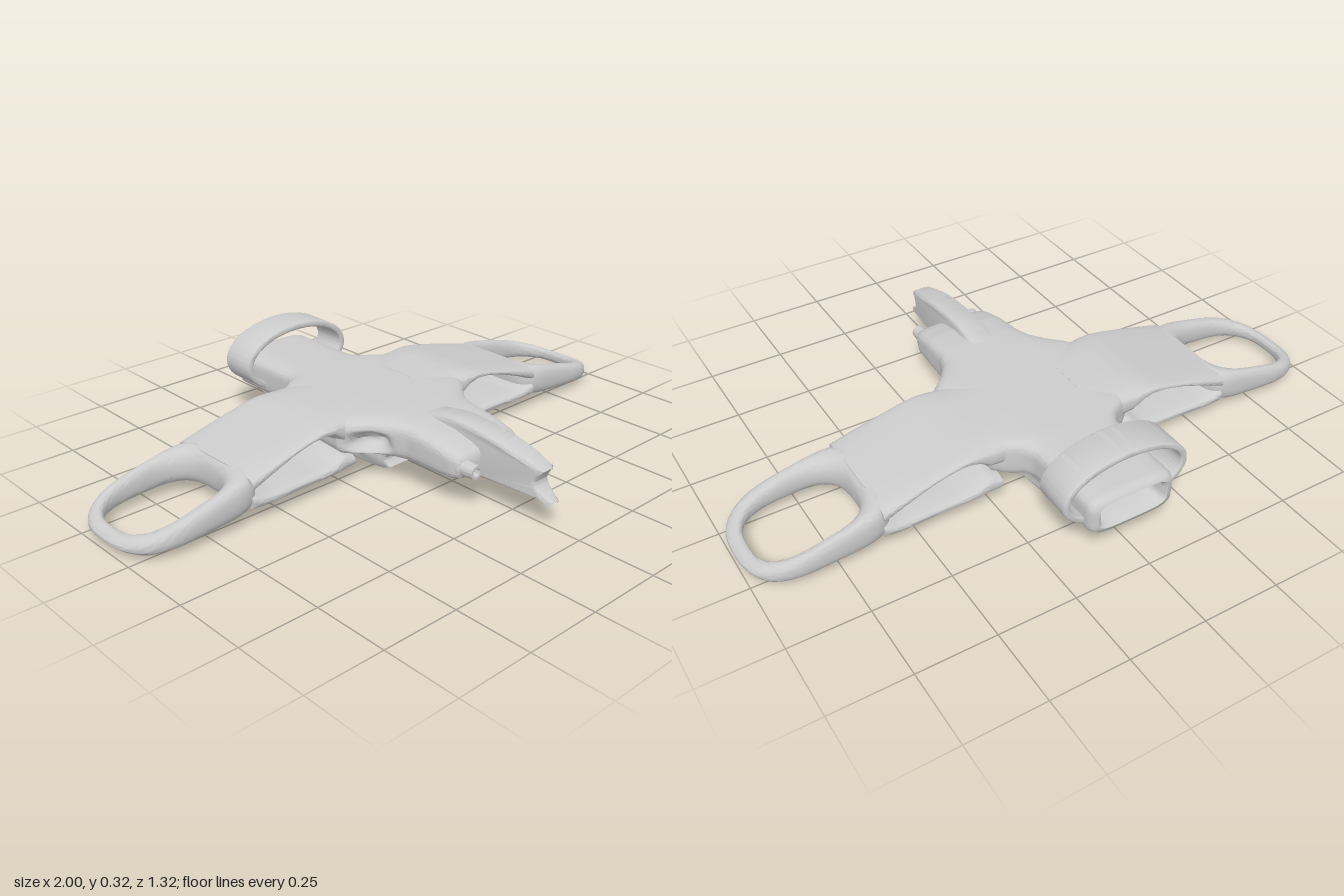
import * as THREE from 'three';
import { toCreasedNormals, mergeVertices } from 'three/addons/utils/BufferGeometryUtils.js';

const material = new THREE.MeshStandardMaterial({ color: 0xcccccc });

// Linear interpolation in a table of rows [key, value, value...]
function sample(rows, t) {
  let i = 1;
  while (i < rows.length - 1 && rows[i][0] < t) i++;
  const a = rows[i - 1], b = rows[i];
  const k = THREE.MathUtils.clamp((t - a[0]) / (b[0] - a[0]), 0, 1);
  return a.slice(1).map((v, j) => v + (b[j + 1] - v) * k);
}

// Point on a unit superellipse
function superPoint(angle, n) {
  const c = Math.cos(angle), s = Math.sin(angle);
  return [Math.sign(c) * Math.abs(c) ** (2 / n), Math.sign(s) * Math.abs(s) ** (2 / n)];
}

// Skin over cross-sections, each a loop running counter-clockwise about the path
function loft(sections, closed = false) {
  const n = sections[0].length, count = sections.length, pos = [], index = [];
  sections.forEach(loop => loop.forEach(p => pos.push(...p)));
  for (let i = 0; i < (closed ? count : count - 1); i++) {
    for (let j = 0; j < n; j++) {
      const k = (j + 1) % n, m = (i + 1) % count;
      const a = i * n + j, b = i * n + k, c = m * n + k, d = m * n + j;
      index.push(a, b, c, a, c, d);
    }
  }
  if (!closed) {
    [0, count - 1].forEach(s => {
      const centre = [0, 1, 2].map(q => sections[s].reduce((sum, p) => sum + p[q], 0) / n);
      const c = pos.length / 3;
      pos.push(...centre);
      for (let j = 0; j < n; j++) {
        const a = s * n + j, b = s * n + (j + 1) % n;
        if (s === 0) index.push(c, b, a); else index.push(c, a, b);
      }
    });
  }
  const g = new THREE.BufferGeometry();
  g.setAttribute('position', new THREE.Float32BufferAttribute(pos, 3));
  g.setIndex(index);
  return g;
}

function mirrorX(geometry) {
  const g = geometry.clone().scale(-1, 1, 1), ix = g.index.array;
  for (let i = 0; i < ix.length; i += 3) [ix[i], ix[i + 1]] = [ix[i + 1], ix[i]];
  return g;
}

function moveVertices(g, rule) {
  const p = g.attributes.position, v = new THREE.Vector3();
  for (let i = 0; i < p.count; i++) {
    rule(v.fromBufferAttribute(p, i));
    p.setXYZ(i, v.x, v.y, v.z);
  }
  return g;
}

// Side outline given as (z, y), extruded across x
function sideExtrude(shape, halfWidth, bevel) {
  const depth = 2 * (halfWidth - bevel);
  return new THREE.ExtrudeGeometry(shape, {
    depth, bevelEnabled: true, bevelThickness: bevel, bevelSize: bevel,
    bevelOffset: -bevel, bevelSegments: 4, curveSegments: 14
  }).translate(0, 0, -depth / 2).rotateY(-Math.PI / 2);
}
const vectors = list => list.map(p => new THREE.Vector2(...p));

// Fuselage with wing-root fillets, a recessed tail opening and two side intakes
function bodyGeometry() {
  // z, half width, bottom, top
  const rows = [
    [-0.655, 0.135, 0.095, 0.212], [-0.64, 0.145, 0.09, 0.22], [-0.42, 0.145, 0.09, 0.22],
    [-0.37, 0.15, 0.09, 0.221], [-0.335, 0.17, 0.09, 0.222], [-0.31, 0.215, 0.09, 0.222],
    [-0.28, 0.25, 0.09, 0.222], [0.03, 0.275, 0.09, 0.222], [0.06, 0.25, 0.09, 0.222],
    [0.1, 0.205, 0.09, 0.222], [0.15, 0.168, 0.09, 0.221], [0.2, 0.15, 0.09, 0.22],
    [0.3, 0.145, 0.09, 0.208], [0.37, 0.14, 0.092, 0.19], [0.395, 0.132, 0.1, 0.18],
    [0.405, 0.112, 0.112, 0.165]
  ];
  const N = 96;
  const loop = (z, w, lo, hi) => Array.from({ length: N }, (_, j) => {
    const [u, v] = superPoint((j + 0.5) / N * Math.PI * 2, 4.5);
    return [u * w, (lo + hi) / 2 + v * (hi - lo) / 2, z];
  });
  const sections = [loop(-0.56, 0.1, 0.122, 0.188), loop(-0.65, 0.108, 0.116, 0.194), loop(-0.66, 0.118, 0.108, 0.202)];
  for (let i = 0; i <= 110; i++) {
    const z = -0.655 + 1.06 * i / 110;
    sections.push(loop(z, ...sample(rows, z)));
  }
  return moveVertices(loft(sections), v => {
    const side = Math.sign(v.x);
    const along = (Math.abs(v.x) - 0.21 - (0.095 - v.z)) / 0.075, up = (v.y - 0.142) / 0.032;
    const d = ((v.z - 0.1) / 0.045) ** 2 + up * up + along * along * 0.2;
    const dent = 0.055 * Math.exp(-d * d);
    v.x -= side * dent;
    v.z -= dent * 0.6;
  });
}

const wingTop = [[0, 0.222], [0.27, 0.223], [0.33, 0.216], [0.4, 0.2], [0.5, 0.178], [0.6, 0.155],
  [0.7, 0.132], [0.8, 0.109], [0.9, 0.082], [0.96, 0.062], [1, 0.046]];
const wingBottom = [[0.2, 0.055], [0.23, 0.043], [0.27, 0.04], [0.6, 0.04], [0.8, 0.027], [0.95, 0.015], [1, 0.022]];
const ductTop = [[0.1, 0.12], [0.26, 0.135], [0.29, 0.165], [0.33, 0.18], [0.38, 0.18], [0.45, 0.163], [0.55, 0.125], [0.61, 0.098]];
const ductBottom = [[0.2, 0.095], [0.26, 0.11], [0.3, 0.088], [0.36, 0.08], [0.53, 0.08], [0.57, 0.086], [0.61, 0.1]];

// Wing skin spanning x0..x1 between two height tables
function wingPlate(x0, x1, low, high) {
  const sections = [];
  for (let i = 0; i <= 36; i++) {
    const x = x0 + (x1 - x0) * i / 36;
    const [lo] = sample(low, x), [hi] = sample(high, x);
    const half = 0.18 + 0.006 * THREE.MathUtils.smoothstep(x, 0.4, 0.6);
    sections.push(Array.from({ length: 56 }, (_, j) => {
      const [u, v] = superPoint(j / 56 * Math.PI * 2, 3.5);
      return [x, (lo + hi) / 2 + u * (hi - lo) / 2, -0.132 + v * half];
    }));
  }
  return loft(sections);
}

// Wing tip: a loop around the large rounded opening
function wingTip() {
  const sections = [], cx = 0.792, cz = -0.132;
  for (let i = 0; i < 96; i++) {
    const a = (i + 0.5) / 96 * Math.PI * 2, inboard = Math.cos(a) < 0;
    const [iu, iv] = superPoint(a, 2.8), [ou, ov] = superPoint(a, inboard ? 6 : 2.7);
    const inner = [cx + iu * 0.163, cz - 0.005 + iv * 0.14];
    const outer = [cx + ou * (inboard ? 0.222 : 0.208), cz + ov * 0.188];
    sections.push(Array.from({ length: 28 }, (_, j) => {
      const [u, v] = superPoint(j / 28 * Math.PI * 2, 2.4), k = (1 + u) / 2;
      const x = inner[0] + (outer[0] - inner[0]) * k, z = inner[1] + (outer[1] - inner[1]) * k;
      const [lo] = sample(wingBottom, x), [hi] = sample(wingTop, x);
      return [x, (lo + hi) / 2 + v * (hi - lo) / 2, z];
    }));
  }
  return loft(sections, true);
}

// Nose blade with a notched prow
function noseGeometry() {
  const s = new THREE.Shape();
  s.moveTo(0.1, 0.1);
  s.lineTo(0.4, 0.088);
  s.lineTo(0.66, 0.088);
  s.splineThru(vectors([[0.625, 0.108], [0.602, 0.135], [0.612, 0.16], [0.625, 0.178]]));
  s.splineThru(vectors([[0.6, 0.192], [0.53, 0.212], [0.43, 0.231], [0.31, 0.24], [0.23, 0.232], [0.15, 0.215]]));
  return moveVertices(sideExtrude(s, 0.05, 0.014), v => {
    const t = THREE.MathUtils.clamp((v.z - 0.4) / 0.265, 0, 1);
    v.x *= Math.sqrt(1 - t * t * 0.97) * (1 - 0.15 * THREE.MathUtils.smoothstep(v.y, 0.16, 0.24));
  });
}

// Belly keel sweeping up to the tail, open between skid and fuselage
function keelGeometry() {
  const s = new THREE.Shape();
  s.moveTo(0.12, 0.11);
  s.splineThru(vectors([[0.1, 0.085], [0.075, 0.055], [0.09, 0.028]]));
  s.splineThru(vectors([[0.05, 0.012], [-0.05, 0.003], [-0.2, 0.003], [-0.35, 0.012], [-0.48, 0.037], [-0.58, 0.068], [-0.65, 0.092]]));
  s.lineTo(-0.64, 0.11);
  const hole = new THREE.Path();
  hole.moveTo(-0.34, 0.088);
  hole.splineThru(vectors([[-0.335, 0.065], [-0.35, 0.046], [-0.42, 0.043], [-0.5, 0.062], [-0.57, 0.088]]));
  hole.closePath();
  s.holes.push(hole);
  return moveVertices(sideExtrude(s, 0.122, 0.008), v => {
    v.x *= 1 - 0.2 * THREE.MathUtils.smoothstep(-v.z, 0.2, 0.55);
    v.x *= 1 - 0.08 * THREE.MathUtils.smoothstep(0.05 - v.y, 0, 0.045);
  });
}

// Arched band over the tail, its ends tucked against the fuselage
function archGeometry() {
  const s = new THREE.Shape(), from = -0.28 * Math.PI, to = 1.28 * Math.PI;
  s.absellipse(0, 0.208, 0.207, 0.107, from, to, false);
  s.absellipse(0, 0.208, 0.197, 0.097, to, from, true);
  return new THREE.ExtrudeGeometry(s, {
    depth: 0.112, bevelEnabled: true, bevelSize: 0.006, bevelThickness: 0.008, bevelSegments: 3, curveSegments: 64
  }).translate(0, 0, -0.616);
}

export function createModel() {
  const group = new THREE.Group();
  const add = (name, geometry, crease = 0.7) => {
    geometry.deleteAttribute('uv');
    geometry.deleteAttribute('normal');
    const mesh = new THREE.Mesh(toCreasedNormals(mergeVertices(geometry, 1e-5), crease), material);
    mesh.name = name;
    group.add(mesh);
    return mesh;
  };
  add('fuselage', bodyGeometry(), 0.9);
  add('noseBlade', noseGeometry());
  add('bellyKeel', keelGeometry());
  add('tailArch', archGeometry());

  const wingParts = {
    UpperWing: wingPlate(0.12, 0.612, ductTop, wingTop),
    LowerWing: wingPlate(0.22, 0.612, wingBottom, ductBottom),
    WingTip: wingTip()
  };
  for (const [name, geometry] of Object.entries(wingParts)) {
    add('right' + name, mirrorX(geometry), 0.9);
    add('left' + name, geometry, 0.9);
  }
  // Stepped gun barrels either side of the nose
  const barrel = [[0, 0], [0.032, 0], [0.032, 0.045], [0.025, 0.05], [0.022, 0.095], [0.014, 0.095], [0.014, 0.075], [0, 0.075]];
  for (const [side, s] of [['left', 1], ['right', -1]]) {
    const g = new THREE.LatheGeometry(vectors(barrel), 24).rotateX(Math.PI / 2);
    add(side + 'Barrel', g.translate(s * 0.102, 0.138, 0.35));
  }
  return group;
}
